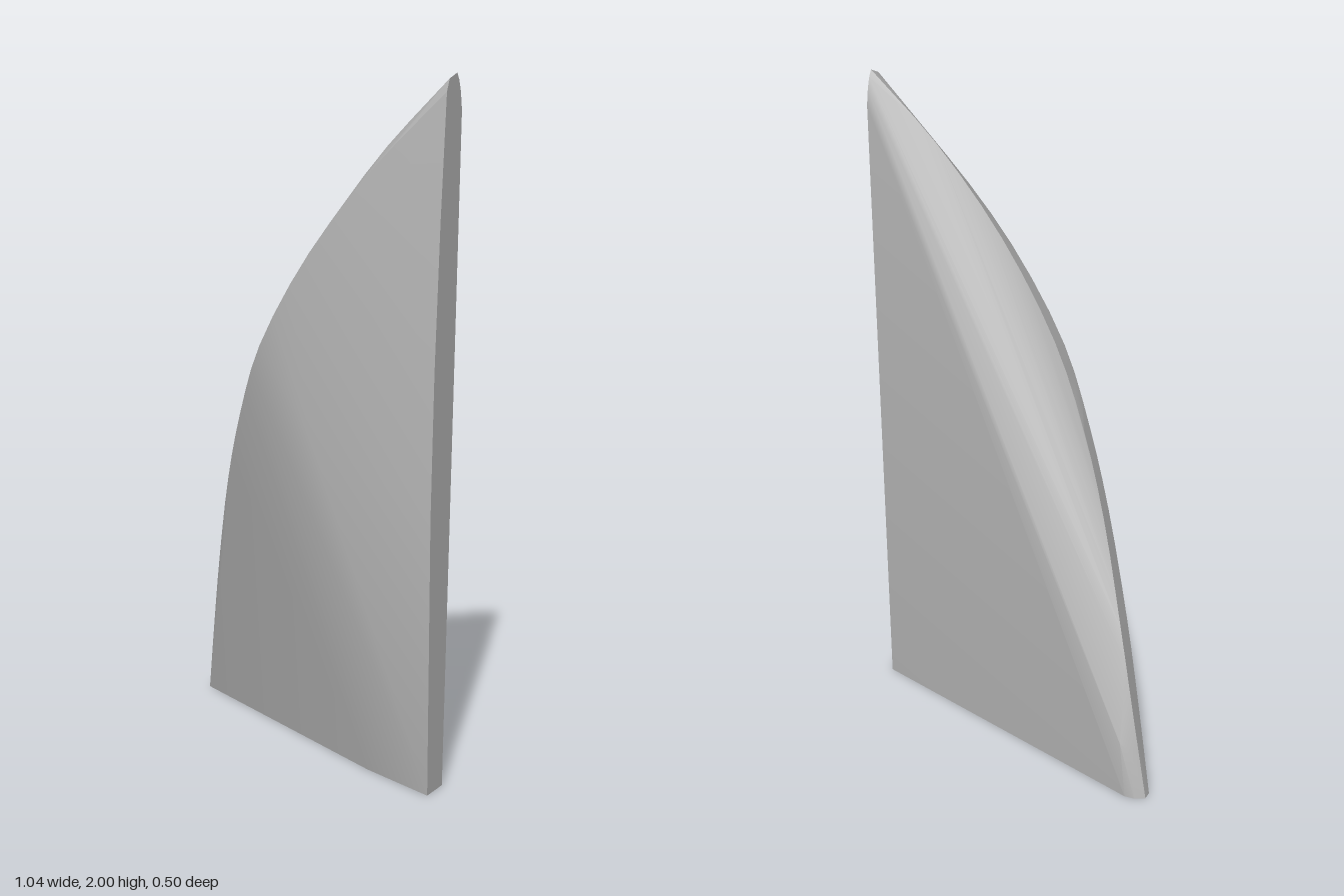
import * as THREE from 'three';
import { toCreasedNormals } from 'three/addons/utils/BufferGeometryUtils.js';
import { ConvexGeometry } from 'three/addons/geometries/ConvexGeometry.js';

const V = (x, y, z) => new THREE.Vector3(x, y, z);

// smooth sampling of a few control points
const sample = (pts, n) => new THREE.CatmullRomCurve3(pts.map((p) => V(...p)), false, 'centripetal').getPoints(n);

export function createModel() {
  const grey = new THREE.MeshStandardMaterial({ color: 0xb8b8b8 });
  grey.name = 'grey';

  // outermost ridge of the curved rim, from the low corner to the tip
  const ridge = sample([
    [-0.52, 0, -0.235], [-0.47, 0.23, -0.21], [-0.4, 0.49, -0.15], [-0.3, 0.78, -0.045],
    [-0.2, 1.01, 0.04], [-0.08, 1.25, 0.1], [0.1, 1.54, 0.122], [0.31, 1.8, 0.125], [0.52, 2, 0.125],
  ], 24);

  // front edge of the rim, a little inside the ridge
  const frontRim = sample([
    [-0.52, 0, -0.205], [-0.46, 0.24, -0.145], [-0.39, 0.49, -0.075], [-0.285, 0.78, 0.03],
    [-0.19, 1.0, 0.108], [-0.08, 1.22, 0.173], [0.1, 1.5, 0.195], [0.31, 1.75, 0.193], [0.52, 1.95, 0.185],
  ], 24);

  // flat back face and its rounded long edge
  const back = [
    V(0.52, 0, 0.16), V(0.52, 1.9, 0.095), V(-0.44, 0.17, -0.245), V(-0.46, 0, -0.25),
    V(0.52, 1.95, 0.103), V(0.52, 1.98, 0.113), V(-0.465, 0.15, -0.24), V(-0.49, 0, -0.25),
  ];

  // front edge of the straight side, tip rounding, bulge and bottom edge
  const front = [
    V(0.52, 0, 0.25), V(0.52, 0.8, 0.25), V(0.52, 1.2, 0.237), V(0.52, 1.6, 0.213),
    V(0.52, 1.985, 0.17), V(0.1, 1.0, 0.207), V(0.28, 0, 0.165),
  ];

  const shell = toCreasedNormals(new ConvexGeometry([...ridge, ...frontRim, ...back, ...front]), 0.4);
  const panel = new THREE.Mesh(shell, grey);
  panel.name = 'curvedPanel';

  const group = new THREE.Group();
  group.name = 'panel';
  group.add(panel);
  return group;
}
